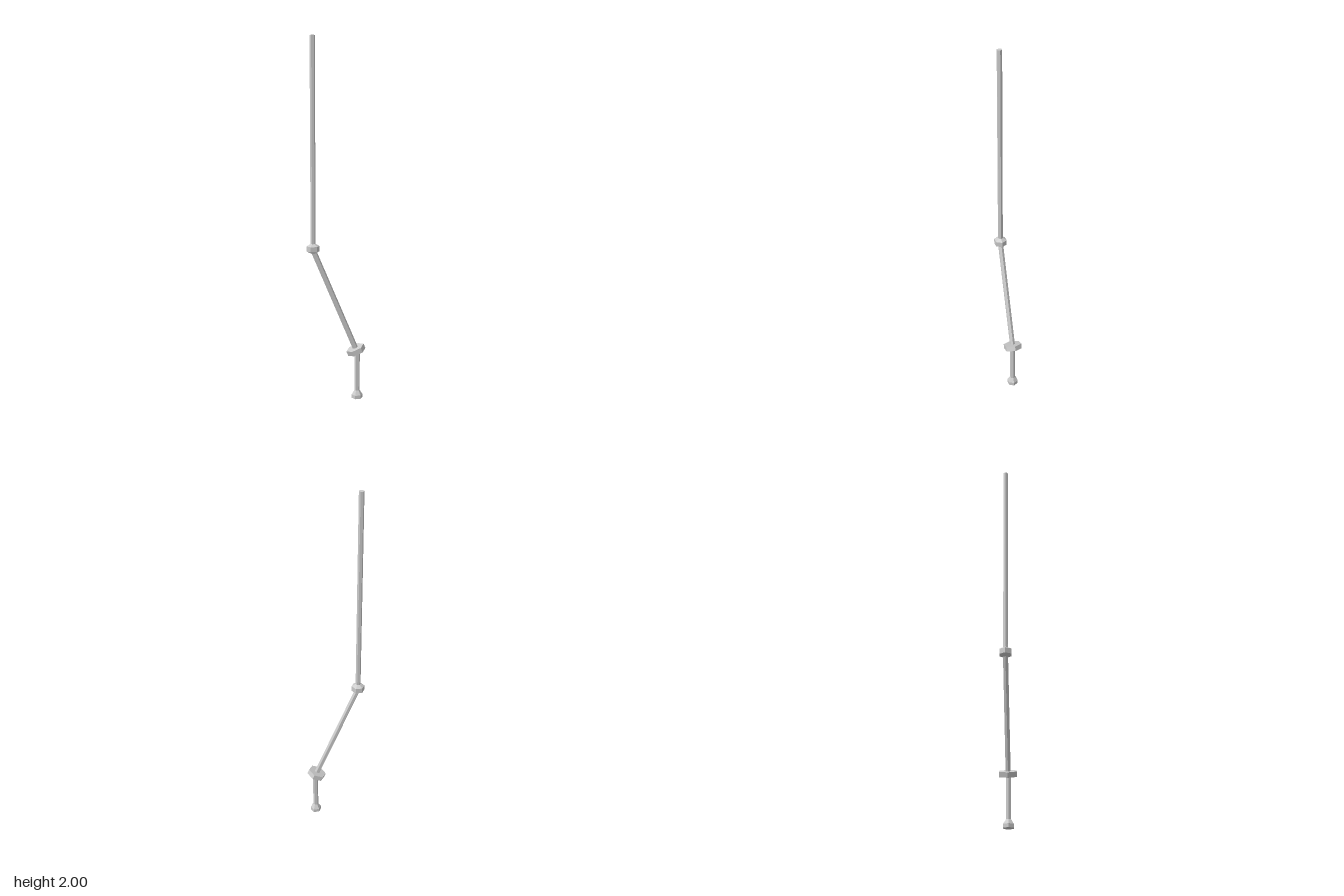
import * as THREE from 'three';

const TWIST = 0.38; // shared turn of all hexagonal sections
const material = new THREE.MeshStandardMaterial({ color: 0xcccccc, flatShading: true });

// Closed six-sided solid turned from [radius, height] pairs, bottom to top
function hexTurned(name, profile) {
  const points = [[0, profile[0][1]], ...profile, [0, profile[profile.length - 1][1]]];
  const geometry = new THREE.LatheGeometry(points.map(([r, y]) => new THREE.Vector2(r, y)), 6, TWIST);
  const mesh = new THREE.Mesh(geometry, material);
  mesh.name = name;
  return mesh;
}

// Hexagonal prism centred on the line between two points
function hexBetween(name, a, b, radius) {
  const direction = b.clone().sub(a);
  const length = direction.length();
  const mesh = hexTurned(name, [[radius, -length / 2], [radius, length / 2]]);
  mesh.position.copy(a).add(b).multiplyScalar(0.5);
  mesh.quaternion.setFromUnitVectors(new THREE.Vector3(0, 1, 0), direction.normalize());
  return mesh;
}

export function createModel() {
  const model = new THREE.Group();
  const upper = new THREE.Vector3(-0.085, 0.855, 0.1);
  const lower = new THREE.Vector3(0.068, 0.27, -0.09);

  // Straight upper rod and slanted middle rod
  model.add(hexBetween('upperRod', upper, new THREE.Vector3(upper.x, 2, upper.z), 0.014));
  model.add(hexBetween('slantedRod', lower, upper, 0.015));

  // Collar at the upper bend, bevelled towards the rods
  const collar = hexTurned('upperCollar', [[0.015, 0.838], [0.036, 0.848], [0.036, 0.877], [0.014, 0.89]]);
  collar.position.set(upper.x, 0, upper.z);
  model.add(collar);

  // Flat plate at the lower bend, square to the slanted rod
  const axis = upper.clone().sub(lower).normalize();
  const plateCentre = new THREE.Vector3(0.064, 0.28, -0.086);
  model.add(hexBetween('lowerPlate',
    plateCentre.clone().addScaledVector(axis, -0.014),
    plateCentre.clone().addScaledVector(axis, 0.014), 0.053));

  // Short lower rod with a flared foot
  const base = new THREE.Vector3(0.07, 0.01, -0.09);
  model.add(hexBetween('lowerRod', base, new THREE.Vector3(base.x, 0.275, base.z), 0.015));
  const foot = hexTurned('foot', [[0.031, 0], [0.031, 0.02], [0.015, 0.045]]);
  foot.position.set(base.x, 0, base.z);
  model.add(foot);

  return model;
}
